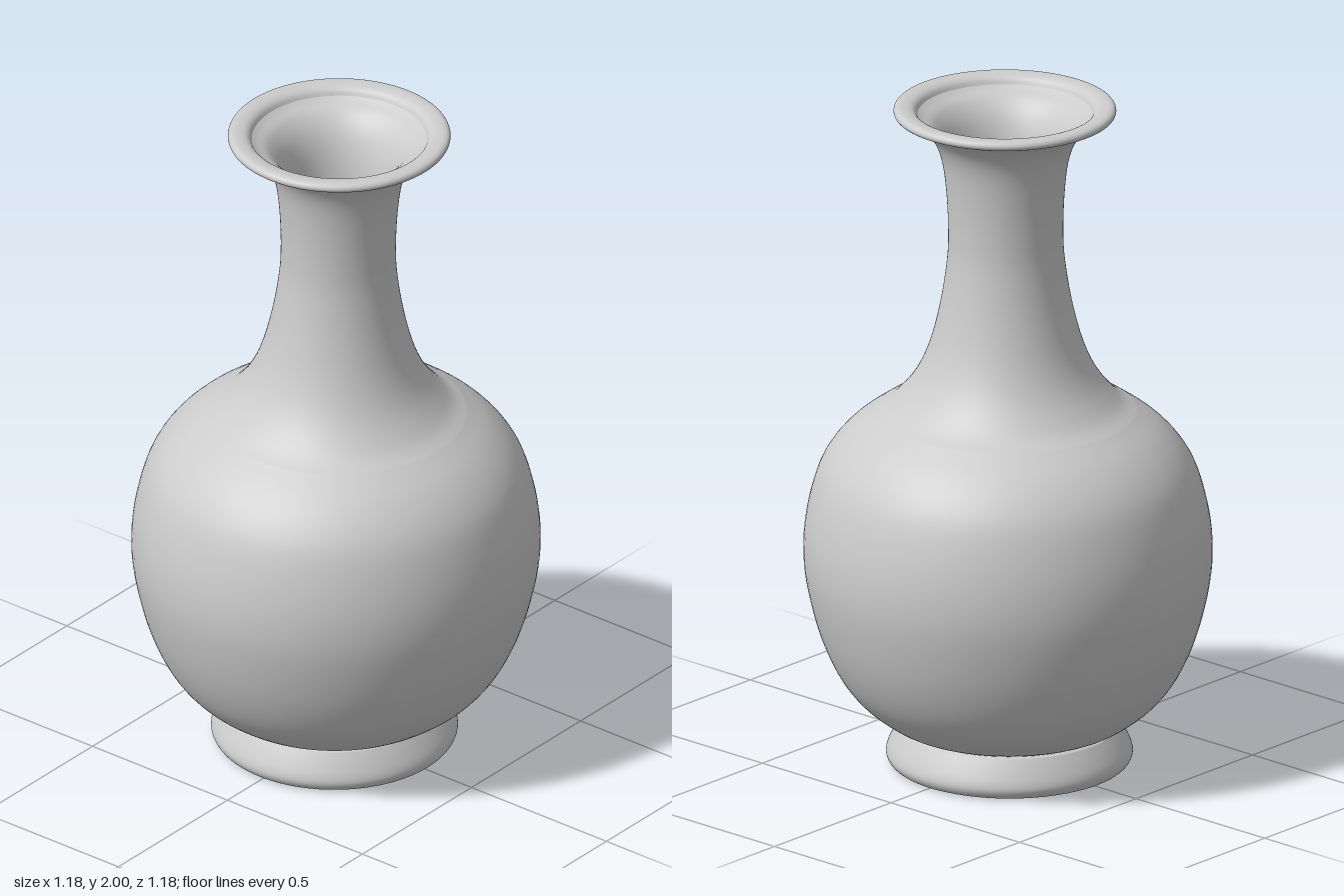
import * as THREE from 'three';

const material = new THREE.MeshStandardMaterial({ color: 0xcccccc });

// Turned section through [radius, height] points; the curve is smooth unless steps is 0.
function turned(name, points, steps = 0) {
  let profile = points.map(([r, y]) => new THREE.Vector2(r, y));
  if (steps) profile = new THREE.SplineCurve(profile).getPoints(steps);
  profile.forEach((p) => { p.x = Math.max(p.x, 0); });
  const geometry = new THREE.LatheGeometry(profile, 96);

  // The vase leans very slightly towards +x.
  const pos = geometry.attributes.position;
  for (let i = 0; i < pos.count; i++) {
    pos.setX(i, pos.getX(i) + 0.009 * (pos.getY(i) - 0.9));
  }
  const mesh = new THREE.Mesh(geometry, material);
  mesh.name = name;
  return mesh;
}

export function createModel() {
  const vase = new THREE.Group();
  vase.name = 'vase';

  vase.add(
    // Recessed underside
    turned('base', [[0, 0.05], [0.235, 0.05]]),
    // Flared foot ring with rounded lower edge
    turned('foot', [
      [0.235, 0.05], [0.25, 0.02], [0.275, 0.004], [0.31, 0], [0.34, 0.004],
      [0.355, 0.025], [0.352, 0.05], [0.335, 0.085], [0.317, 0.115],
    ], 40),
    // Small ledge between foot and belly
    turned('footLedge', [[0.317, 0.115], [0.308, 0.12]]),
    // Round belly sweeping into the shoulder
    turned('body', [
      [0.308, 0.12], [0.36, 0.145], [0.435, 0.205], [0.495, 0.285], [0.545, 0.4],
      [0.58, 0.54], [0.59, 0.65], [0.58, 0.76], [0.55, 0.875], [0.51, 0.95],
      [0.45, 1.015], [0.375, 1.07],
    ], 60),
    // Slender neck flaring to the mouth
    turned('neck', [
      [0.375, 1.07], [0.325, 1.105], [0.265, 1.18], [0.222, 1.275], [0.19, 1.4],
      [0.17, 1.53], [0.166, 1.62], [0.17, 1.73], [0.182, 1.83], [0.204, 1.895],
      [0.24, 1.94], [0.278, 1.962], [0.304, 1.97],
    ], 60),
    // Rounded lip with a shallow step inside it
    turned('lip', [
      [0.304, 1.97], [0.317, 1.976], [0.321, 1.986], [0.315, 1.996], [0.3, 2],
      [0.275, 1.997], [0.26, 1.988], [0.252, 1.974],
    ], 32),
    // Inner wall following the outside
    turned('innerWall', [
      [0.252, 1.974], [0.238, 1.965], [0.205, 1.945], [0.17, 1.9], [0.145, 1.83],
      [0.131, 1.73], [0.127, 1.62], [0.131, 1.53], [0.15, 1.4], [0.182, 1.275],
      [0.225, 1.18], [0.3, 1.08], [0.41, 0.99], [0.505, 0.875], [0.545, 0.74],
      [0.55, 0.6], [0.505, 0.4], [0.41, 0.24], [0.3, 0.15],
    ], 80),
    // Flat floor inside
    turned('innerFloor', [[0.3, 0.15], [0, 0.15]]),
  );
  return vase;
}
